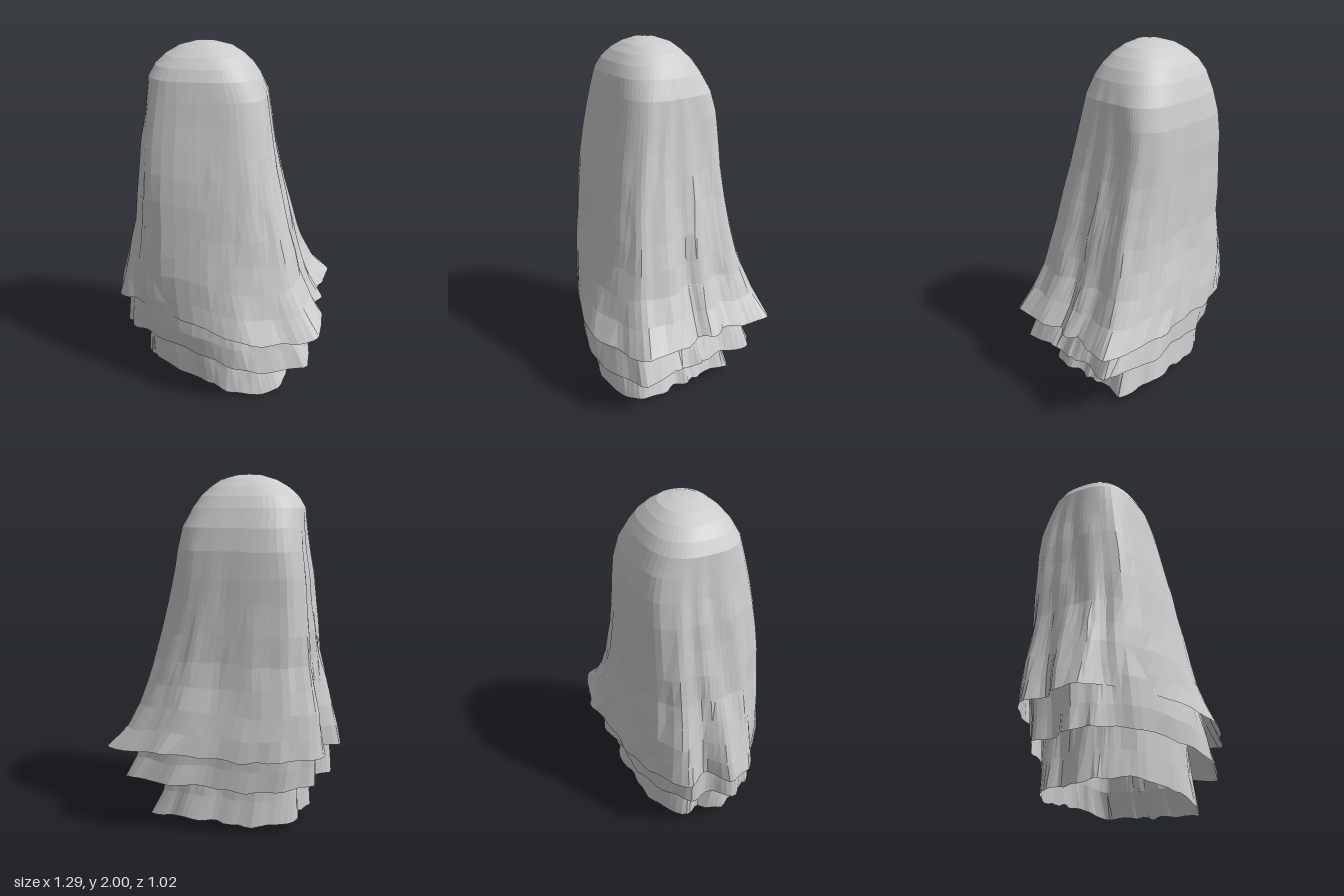
import * as THREE from 'three';

const SEGMENTS = 88;

// Hem outline seen from above: x, height offset, z
const hem = new THREE.CatmullRomCurve3([
  [0.65, 0.0, -0.40], [0.46, 0.02, -0.46], [0.28, 0.03, -0.51], [0.06, 0.02, -0.46],
  [-0.17, 0.0, -0.45], [-0.40, 0.0, -0.37], [-0.58, 0.0, -0.24], [-0.54, 0.01, -0.12],
  [-0.65, 0.0, 0.0], [-0.61, 0.02, 0.14], [-0.50, 0.03, 0.20], [-0.33, 0.04, 0.32],
  [-0.02, 0.01, 0.46], [0.20, -0.03, 0.51], [0.42, -0.05, 0.45], [0.59, -0.04, 0.37],
  [0.61, -0.02, 0.16], [0.57, -0.03, 0.05], [0.62, -0.02, -0.04], [0.59, -0.01, -0.14],
  [0.61, -0.01, -0.26]
].map(p => new THREE.Vector3(...p)), true, 'catmullrom', 0.4);

// Rows of the rounded head: y, x min, x max, z min, z max, squareness
const head = [
  [1.993, -0.17, -0.03, -0.10, 0.03, 2.1], [1.97, -0.25, 0.05, -0.17, 0.08, 2.2],
  [1.93, -0.32, 0.11, -0.22, 0.13, 2.4], [1.88, -0.375, 0.16, -0.265, 0.17, 2.6],
  [1.82, -0.41, 0.20, -0.30, 0.20, 2.8], [1.72, -0.42, 0.245, -0.34, 0.22, 3.3],
  [1.60, -0.435, 0.265, -0.365, 0.24, 3.8]
];

// Rows of each sheet below the head; flare is how far it takes on the hem outline
const sheets = [
  { name: 'outerSheet', inset: 0, flare: 1, rows: [
    [1.46, -0.46, 0.29, -0.375, 0.27], [1.32, -0.475, 0.32, -0.38, 0.30],
    [1.16, -0.50, 0.36, -0.39, 0.33], [1.00, -0.52, 0.41, -0.40, 0.36],
    [0.86, -0.555, 0.45, -0.42, 0.39], [0.73, -0.59, 0.49, -0.45, 0.425],
    [0.60, -0.62, 0.56, -0.48, 0.46], [0.48, -0.65, 0.65, -0.51, 0.51]] },
  { name: 'middleSheet', inset: 0.015, flare: 0.92, rows: [
    [1.30, -0.45, 0.30, -0.36, 0.28], [1.00, -0.49, 0.37, -0.38, 0.33],
    [0.75, -0.54, 0.42, -0.40, 0.38], [0.55, -0.565, 0.47, -0.415, 0.43],
    [0.40, -0.575, 0.52, -0.42, 0.46], [0.28, -0.585, 0.585, -0.435, 0.48]] },
  { name: 'innerSheet', inset: 0.03, flare: 0.78, rows: [
    [1.30, -0.43, 0.27, -0.34, 0.26], [1.00, -0.44, 0.30, -0.34, 0.29],
    [0.70, -0.45, 0.32, -0.34, 0.33], [0.40, -0.455, 0.34, -0.345, 0.36],
    [0.20, -0.46, 0.37, -0.36, 0.375], [0.055, -0.47, 0.43, -0.38, 0.39]] }
];

// Small repeatable variation in -0.5..0.5 for crumpled facets
function crumple(i, j) {
  const s = Math.sin(i * 12.99 + j * 78.23) * 43758.55;
  return s - Math.floor(s) - 0.5;
}

// Loft one sheet from the crown down to its hem
function makeSheet({ name, inset, flare, rows }, layer) {
  const bands = [...head.map(([y, a, b, c, d, power]) =>
    [y - inset, a + inset, b - inset, c + inset, d - inset, power]), ...rows];
  const bottom = rows[rows.length - 1][0];
  const points = [-0.1, 2 - inset, -0.04];
  const index = [];

  bands.forEach(([y, x0, x1, z0, z1, power = 3.8], i) => {
    const drop = THREE.MathUtils.clamp((1.75 - y) / (1.75 - bottom), 0, 1);
    const blend = Math.pow(drop, 2);
    for (let j = 0; j < SEGMENTS; j++) {
      const h = hem.getPoint(j / SEGMENTS);
      const hx = h.x / 0.65, hz = h.z / 0.51;
      const angle = Math.atan2(hz, hx);
      const c = Math.cos(angle), s = Math.sin(angle);
      // Rounded square head section melting into the hem outline
      const r = Math.pow(Math.abs(c) ** power + Math.abs(s) ** power, -1 / power);
      // Folds gather on the two sides, strongest halfway down
      const wave = Math.sin(angle * 15 + layer * 2 + 1.5 * Math.sin(angle * 4 + y * 3));
      const depth = (0.01 + 0.07 * c * c) * Math.sqrt(drop) * (1 - 0.65 * blend);
      const fold = 1 - depth * (0.5 + 0.5 * wave)
        + 0.03 * drop * crumple(i + layer * 9, j >> 1);
      const u = THREE.MathUtils.lerp(c * r, hx, blend * flare) * fold;
      const v = THREE.MathUtils.lerp(s * r, hz, blend * flare) * fold;
      points.push(
        (x0 + x1) / 2 + u * (x1 - x0) / 2,
        y + (h.y + 0.006 * wave) * blend + 0.07 * drop * (1 - blend) * crumple(j >> 2, i),
        (z0 + z1) / 2 + v * (z1 - z0) / 2);
    }
  });

  const at = (i, j) => 1 + i * SEGMENTS + j % SEGMENTS;
  for (let j = 0; j < SEGMENTS; j++) {
    index.push(0, at(0, j), at(0, j + 1));
    for (let i = 0; i < bands.length - 1; i++) {
      const a = at(i, j), b = at(i, j + 1), c = at(i + 1, j), d = at(i + 1, j + 1);
      index.push(a, c, b, b, c, d);
    }
  }
  const geometry = new THREE.BufferGeometry();
  geometry.setAttribute('position', new THREE.Float32BufferAttribute(points, 3));
  geometry.setIndex(index);
  geometry.computeVertexNormals();

  const mesh = new THREE.Mesh(geometry, new THREE.MeshStandardMaterial({
    color: 0xcccccc, flatShading: true, side: THREE.DoubleSide
  }));
  mesh.name = name;
  return mesh;
}

export function createModel() {
  const group = new THREE.Group();
  group.name = 'drapedSheets';
  sheets.forEach((sheet, layer) => group.add(makeSheet(sheet, layer)));
  return group;
}
